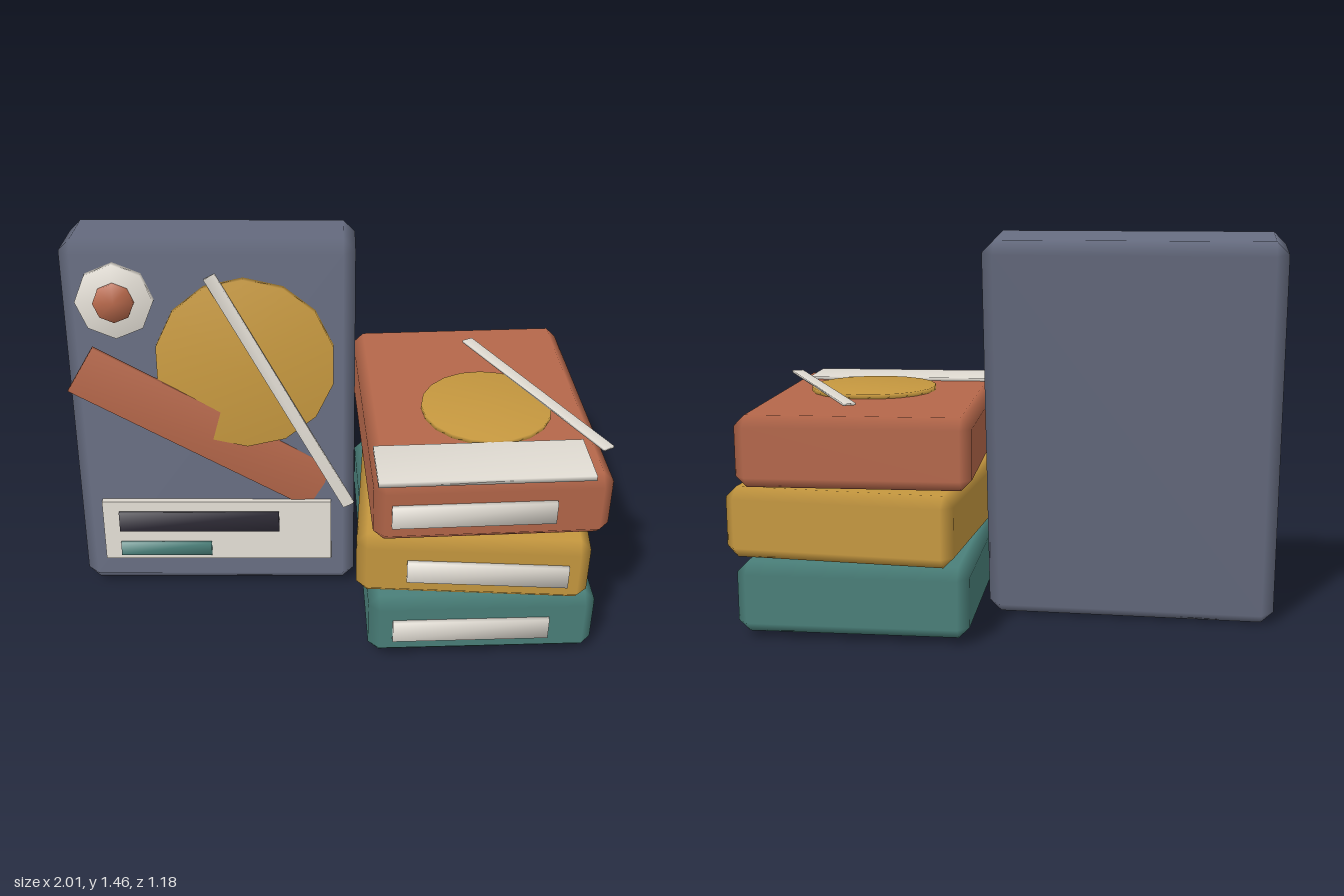
import * as THREE from 'three';
import { mergeVertices } from 'three/addons/utils/BufferGeometryUtils.js';
import { ConvexGeometry } from 'three/addons/geometries/ConvexGeometry.js';

const mat = (color) => new THREE.MeshStandardMaterial({ color });
const slate = mat(0x666c80), red = mat(0xb5674a), yellow = mat(0xc6983f);
const teal = mat(0x4a807a), cream = mat(0xe0dbd2), dark = mat(0x2b2833);

// Box with chamfered edges; each corner keeps its main face's normal, so chamfers shade round
function chamferBox(w, h, d, c) {
  const half = [w / 2, h / 2, d / 2];
  const pts = [];
  for (let axis = 0; axis < 3; axis++)
    for (const sx of [-1, 1]) for (const sy of [-1, 1]) for (const sz of [-1, 1]) {
      const s = [sx, sy, sz];
      pts.push(new THREE.Vector3(...half.map((v, i) => s[i] * (i === axis ? v : v - c))));
    }
  const geo = new ConvexGeometry(pts);
  const p = geo.attributes.position, n = geo.attributes.normal;
  for (let i = 0; i < p.count; i++) {
    const v = [p.getX(i), p.getY(i), p.getZ(i)];
    n.setXYZ(i, ...v.map((a, k) => (Math.abs(a) > half[k] - c / 2 ? Math.sign(a) : 0)));
  }
  return geo;
}

// Share the corners so the normals run smoothly over the edges
function smooth(geo) {
  geo.deleteAttribute('normal');
  geo.deleteAttribute('uv');
  const merged = mergeVertices(geo);
  merged.computeVertexNormals();
  return merged;
}

function add(parent, name, geo, material, x, y, z) {
  const mesh = new THREE.Mesh(geo, material);
  mesh.name = name;
  mesh.position.set(x, y, z);
  parent.add(mesh);
  return mesh;
}

const bar = (w, h, d) => smooth(new THREE.BoxGeometry(w, h, d));
const disc = (r, t, sides) => smooth(new THREE.CylinderGeometry(r, r, t, sides));

export function createModel() {
  const model = new THREE.Group();
  model.name = 'boxStack';

  // Tall box leaning back, with its cover art
  const tilt = -0.12, depth = 0.315;
  const tall = new THREE.Group();
  tall.name = 'leaningBox';
  tall.position.set(-0.46, 0.73, -0.093);
  tall.rotation.x = tilt;
  model.add(tall);
  add(tall, 'leaningBoxBody', chamferBox(1.08, 1.443, depth, 0.045), slate, 0, 0, 0);

  // Places a cover part by its centre on the front and how far it stands out
  const onCover = (name, geo, material, x, y, t0, t1) =>
    add(tall, name, geo, material, x + 0.46, (y - 0.749) / 0.993, depth / 2 + (t0 + t1) / 2);
  const coverDiscs = [
    ['coverDisc', 0.337, 14, yellow, -0.33, 1.0, 0.03],
    ['badge', 0.143, 8, cream, -0.8, 1.25, 0.03],
    ['badgeCentre', 0.075, 8, red, -0.8, 1.25, 0.045],
  ];
  for (const [name, r, sides, m, x, y, t] of coverDiscs)
    onCover(name, disc(r, t, sides), m, x, y, 0, t).rotation.x = Math.PI / 2;
  onCover('titlePanel', new THREE.BoxGeometry(0.9, 0.26, 0.025), cream, -0.46, 0.29, 0, 0.025);
  onCover('titleBar', bar(0.63, 0.082, 0.02), dark, -0.53, 0.335, 0.02, 0.04);
  onCover('subtitleBar', bar(0.36, 0.056, 0.02), teal, -0.665, 0.213, 0.02, 0.04);

  // Diagonal pieces across the cover
  const ribbon = add(model, 'coverRibbon', bar(1.04, 0.2, 0.02), red, -0.495, 0.735, 0.088);
  ribbon.rotation.set(tilt, 0, -0.545, 'ZYX');
  const stick = add(model, 'coverStick', bar(0.045, 1.06, 0.016), cream, -0.195, 0.895, 0.095);
  stick.rotation.set(tilt, 0, 0.502, 'ZYX');

  // Three stacked boxes, each turned a little, with a label on the front
  const stack = [
    ['lowerBox', teal, 0.155, 0.038, -0.043],
    ['middleBox', yellow, 0.423, -0.053, 0.055],
    ['upperBox', red, 0.695, 0.058, -0.07],
  ];
  let upper;
  for (const [name, m, y, yaw, labelX] of stack) {
    const box = new THREE.Group();
    box.name = name;
    box.position.set(0.535, y, -0.005);
    box.rotation.y = yaw;
    model.add(box);
    add(box, name + 'Body', chamferBox(0.85, 0.262, 1.12, 0.04), m, 0, 0, 0);
    add(box, name + 'Label', bar(0.585, 0.09, 0.03), cream, labelX, 0, 0.563);
    upper = box;
  }

  // Art on top of the upper box
  add(upper, 'topPanel', bar(0.765, 0.02, 0.23), cream, -0.03, 0.134, 0.445);
  add(model, 'topDisc', disc(0.245, 0.025, 20), yellow, 0.575, 0.831, 0.08);
  add(model, 'topStick', bar(0.045, 0.009, 0.9), cream, 0.765, 0.848, -0.015).rotation.y = 0.512;

  return model;
}
